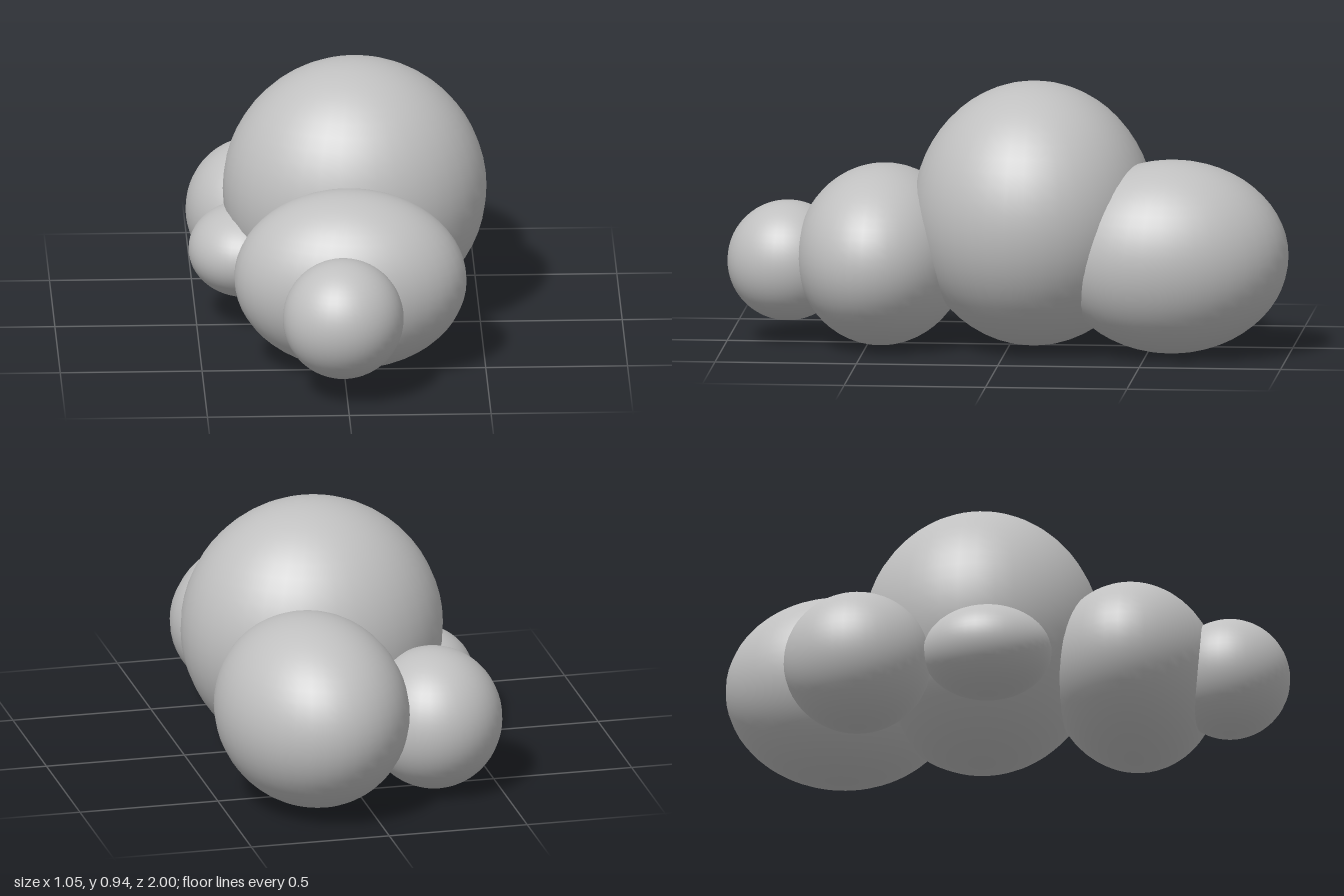
import * as THREE from 'three';

export function createModel() {
  const group = new THREE.Group();
  const grey = new THREE.MeshStandardMaterial({ color: 0xc0c0c0 });
  grey.name = 'plain grey';
  const ball = new THREE.SphereGeometry(1, 40, 28);

  // Each lobe: name, centre, radii, turn about the vertical axis
  const lobes = [
    ['body', [0.06, 0.478, -0.09], [0.465, 0.467, 0.427], 0],
    ['chest', [0.025, 0.32, 0.448], [0.41, 0.32, 0.3], -0.1],
    ['head', [-0.013, 0.288, 0.787], [0.213, 0.213, 0.213], 0],
    ['rump', [0.181, 0.348, -0.588], [0.333, 0.342, 0.412], 0.15],
    ['rearSideLobe', [-0.277, 0.255, -0.515], [0.243, 0.252, 0.26], 0],
    ['middleSideLobe', [-0.327, 0.263, -0.055], [0.2, 0.163, 0.227], 0],
  ];
  for (const [name, centre, radii, turn] of lobes) {
    const lobe = new THREE.Mesh(ball, grey);
    lobe.name = name;
    lobe.position.set(...centre);
    lobe.scale.set(...radii);
    lobe.rotation.y = turn;
    group.add(lobe);
  }
  return group;
}
